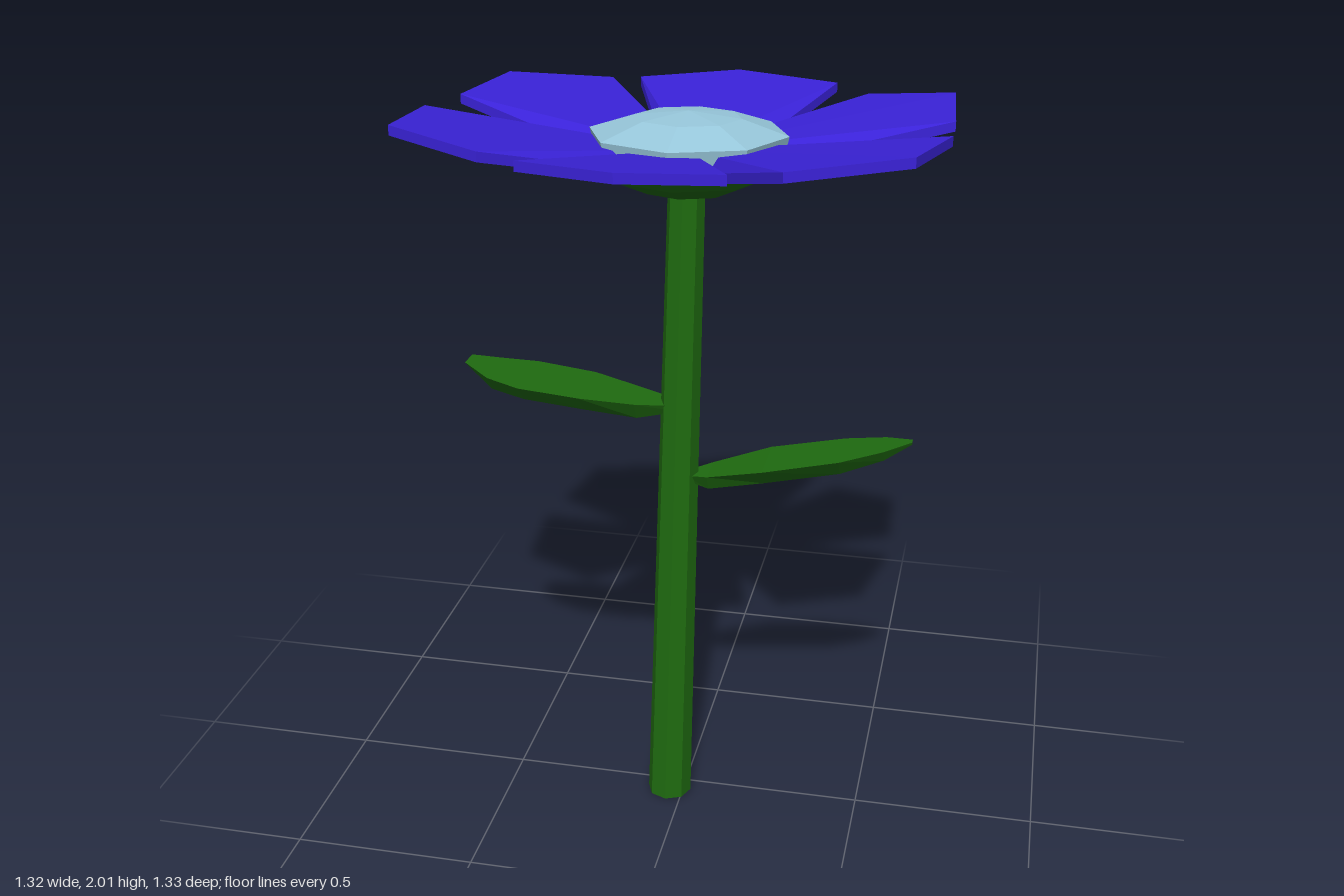
import * as THREE from 'three';

const mat = (color) => new THREE.MeshStandardMaterial({ color, flatShading: true });

function mesh(name, geometry, material) {
  const m = new THREE.Mesh(geometry, material);
  m.name = name;
  return m;
}

function fromTriangles(tris) {
  const g = new THREE.BufferGeometry().setFromPoints(tris.flat());
  g.computeVertexNormals();
  return g;
}

// Skin a list of equal-length rings and close both ends
function loft(rings) {
  const tris = [], n = rings[0].length;
  for (let i = 0; i < rings.length - 1; i++) {
    for (let j = 0; j < n; j++) {
      const k = (j + 1) % n, a = rings[i], b = rings[i + 1];
      tris.push([a[j], a[k], b[k]], [a[j], b[k], b[j]]);
    }
  }
  const first = rings[0], last = rings[rings.length - 1];
  for (let j = 1; j < n - 1; j++) {
    tris.push([first[0], first[j + 1], first[j]], [last[0], last[j], last[j + 1]]);
  }
  return fromTriangles(tris);
}

// Leaf running outwards from the stem; side is +1 (left) or -1 (right).
// Rows: distance from the axis, top height, half width, depth, centre z
function leaf(rows, side) {
  return loft(rows.map(([x, y, w, d, z]) => [
    [-w, 0], [w, 0], [w * 0.5, -d], [-w * 0.5, -d],
  ].map(([dz, dy]) => new THREE.Vector3(side * x, y + dy, z + side * dz))));
}

// Petal outlines, counter-clockwise from above: inner notch, side, tip, side
const petalOutline = [
  [0.335, 0.018], [0.655, -0.075], [0.635, -0.37], [0.40, -0.455],
  [0.185, -0.257], [0.305, -0.56], [0.015, -0.665], [-0.245, -0.557],
  [-0.147, -0.296], [-0.317, -0.525], [-0.58, -0.416], [-0.63, -0.14],
  [-0.314, -0.01], [-0.66, 0.046], [-0.63, 0.377], [-0.38, 0.49],
  [-0.176, 0.282], [-0.27, 0.564], [-0.02, 0.663], [0.21, 0.578],
  [0.148, 0.279], [0.325, 0.54], [0.60, 0.44], [0.66, 0.113],
];

// The petals rise outwards and the whole flower tips slightly backwards
function petal(index) {
  const top = [], thickness = 0.025;
  for (let i = 0; i < 5; i++) {
    const [x, z] = petalOutline[(index * 4 + i) % petalOutline.length];
    const r = Math.hypot(x, z);
    top.push(new THREE.Vector3(x, 1.9 + 0.225 * (r - 0.33) + 0.04 * z, z));
  }
  const lower = (p) => p.clone().setY(p.y - thickness);
  const centre = new THREE.Vector3(0, 1.885, 0);
  const tris = [];
  for (let i = 0; i < 4; i++) {
    const p = top[i], q = top[i + 1], pl = lower(p), ql = lower(q);
    tris.push([centre, p, q], [lower(centre), ql, pl], [p, pl, ql], [p, ql, q]);
  }
  return fromTriangles(tris);
}

// Eight-sided turned form from [radius, height] pairs
const turned = (profile) =>
  new THREE.LatheGeometry(profile.map(([r, y]) => new THREE.Vector2(r, y)), 8);

export function createModel() {
  const group = new THREE.Group();
  const green = mat(0x1f6b10), blue = mat(0x3a22d8), pale = mat(0x98c8dc);

  // Stem, tapered and leaning towards the flower
  const stemGeo = new THREE.CylinderGeometry(0.048, 0.062, 1.8, 8);
  stemGeo.translate(0, 0.9, 0);
  const pos = stemGeo.attributes.position;
  for (let i = 0; i < pos.count; i++) {
    const t = pos.getY(i) / 1.8;
    pos.setX(i, pos.getX(i) - 0.04 + 0.045 * t);
    pos.setZ(i, pos.getZ(i) + 0.043 - 0.026 * t);
  }
  group.add(mesh('stem', stemGeo, green));

  // Leaves
  group.add(mesh('leftLeaf', leaf([
    [0.01, 1.015, 0.02, 0.02, 0.03], [0.07, 1.025, 0.05, 0.045, 0.02],
    [0.22, 1.062, 0.085, 0.05, 0.005], [0.42, 1.105, 0.08, 0.05, 0],
    [0.53, 1.125, 0.05, 0.035, -0.015], [0.6, 1.135, 0.01, 0.008, -0.03],
  ], 1), green));
  group.add(mesh('rightLeaf', leaf([
    [0.01, 1.215, 0.02, 0.02, 0.03], [0.12, 1.228, 0.06, 0.05, 0.035],
    [0.26, 1.25, 0.095, 0.05, 0.04], [0.42, 1.268, 0.1, 0.05, 0.043],
    [0.51, 1.28, 0.075, 0.045, 0.043], [0.585, 1.3, 0.03, 0.012, 0.04],
  ], -1), green));

  // Flower head: green cup below, pale domed centre above
  const head = new THREE.Group();
  head.name = 'flowerHead';
  head.position.set(0.005, 1.88, -0.003);
  head.rotation.x = -0.04;
  head.add(mesh('cup', turned([
    [0, -0.105], [0.12, -0.092], [0.205, -0.055], [0.25, -0.01], [0, -0.005],
  ]), green));
  head.add(mesh('centre', turned([
    [0, -0.005], [0.24, -0.005], [0.253, 0.05], [0.135, 0.088], [0, 0.103],
  ]), pale));
  group.add(head);

  // Petals
  const petals = new THREE.Group();
  petals.name = 'petals';
  for (let i = 0; i < 6; i++) petals.add(mesh(`petal${i + 1}`, petal(i), blue));
  group.add(petals);

  return group;
}
